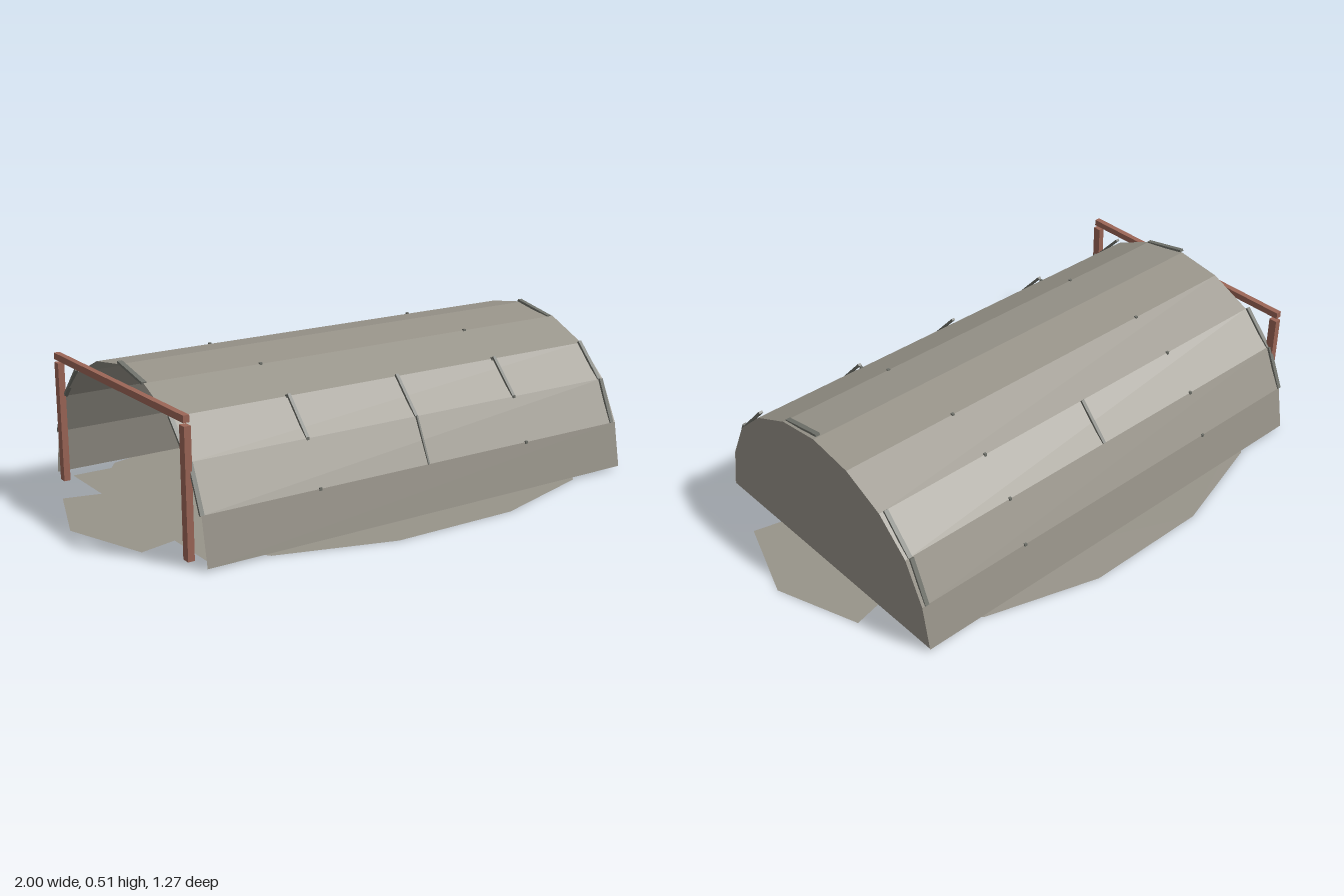
import * as THREE from 'three';

// half cross-section of the vault as [z, y], ground to ridge
const HALF = [[0.52, 0.008], [0.492, 0.16], [0.423, 0.3], [0.31, 0.405], [0.16, 0.474], [0, 0.498]];
const LENGTH = 1.625;

export function createModel() {
  const canvas = new THREE.MeshStandardMaterial({ color: 0x98948a, side: THREE.DoubleSide, flatShading: true });
  canvas.name = 'weatheredPanel';
  const rust = new THREE.MeshStandardMaterial({ color: 0x9c6657 });
  rust.name = 'rustyTimber';
  const steel = new THREE.MeshStandardMaterial({ color: 0x70726b });
  steel.name = 'greySteel';

  const group = new THREE.Group();
  group.name = 'archedShelter';
  const add = (name, geometry, material, x = 0, y = 0, z = 0) => {
    const mesh = new THREE.Mesh(geometry, material);
    mesh.name = name;
    mesh.position.set(x, y, z);
    group.add(mesh);
    return mesh;
  };
  const box = (w, h, d) => new THREE.BoxGeometry(w, h, d);
  const polygon = (points) => new THREE.ShapeGeometry(new THREE.Shape(points.map(([x, y]) => new THREE.Vector2(x, y))));

  // faceted vault, front foot over the ridge to the back foot
  const profile = [...HALF, ...HALF.slice(0, -1).reverse().map(([z, y]) => [-z, y])];
  const corners = [];
  const h = LENGTH / 2;
  for (let i = 0; i < profile.length - 1; i++) {
    const [z0, y0] = profile[i], [z1, y1] = profile[i + 1];
    corners.push(-h, y0, z0, h, y0, z0, h, y1, z1, -h, y0, z0, h, y1, z1, -h, y1, z1);
  }
  const vault = new THREE.BufferGeometry();
  vault.setAttribute('position', new THREE.Float32BufferAttribute(corners, 3));
  vault.computeVertexNormals();
  add('vault', vault, canvas);

  // closed end; the opposite end stays open
  add('endWall', polygon(profile).rotateY(Math.PI / 2), canvas, h - 0.002);

  // ground sheet with flaps reaching out past the walls
  const quarter = [[1, 0], [0.9, 0.282], [0.7, 0.235], [0.66, 0.44], [0.6, 0.52], [0.22, 0.635]];
  const outline = [
    ...quarter,
    ...quarter.slice(1).reverse().map(([x, z]) => [-x, z]),
    ...quarter.map(([x, z]) => [-x, -z]),
    ...quarter.slice(1).reverse().map(([x, z]) => [x, -z]),
  ];
  add('groundSheet', polygon(outline).rotateX(-Math.PI / 2), canvas);
  add('floor', new THREE.PlaneGeometry(1.56, 0.93).rotateX(-Math.PI / 2), canvas, 0, 0.004, 0);

  // timber frame at the open end
  for (const side of [1, -1]) add('doorPost', box(0.022, 0.407, 0.029), rust, -0.823, 0.2115, side * 0.43);
  add('doorBeam', box(0.02, 0.022, 0.885), rust, -0.825, 0.436, 0);

  // battens lie along one facet, lifting slightly toward their upper end
  const batten = (x, facet, side, width = 0.011, lift = 0.012) => {
    const [z0, y0] = HALF[facet], [z1, y1] = HALF[facet + 1];
    const length = Math.hypot(z1 - z0, y1 - y0);
    const nz = (y1 - y0) / length, ny = (z0 - z1) / length;
    const a = new THREE.Vector3(x, y0, side * z0);
    const b = new THREE.Vector3(x, y1 + ny * lift, side * (z1 + nz * lift));
    const mesh = add('batten', box(width, 0.008, a.distanceTo(b)), steel);
    mesh.position.copy(a).lerp(b, 0.5);
    mesh.lookAt(b);
  };
  for (const x of [-0.811, 0.795]) {
    for (const side of [1, -1]) {
      batten(x, 1, side, 0.014, 0.008);
      batten(x, 2, side, 0.014);
    }
    batten(x, 4, 1, 0.016, 0.008);
  }
  for (const x of [-0.408, 0, 0.405]) batten(x, 2, 1);
  batten(0, 2, -1);
  batten(0, 1, 1, 0.006, 0.004);

  // small pins where the facets meet
  for (const x of [-0.408, 0.405]) {
    for (const side of [1, -1]) {
      for (const [z, y] of HALF.slice(1, 5)) add('pin', box(0.009, 0.009, 0.009), steel, x, y, side * z);
    }
  }
  return group;
}
